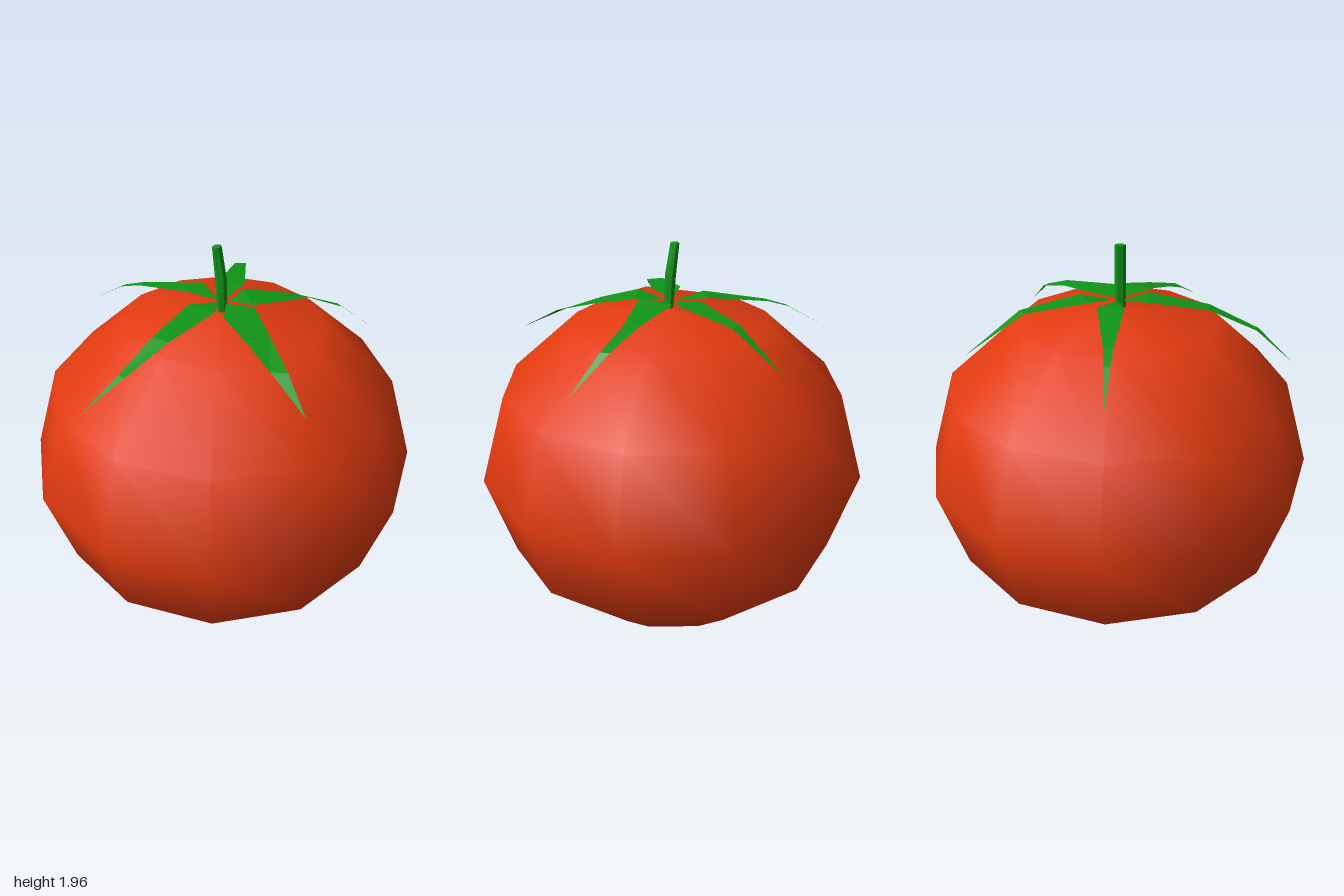
import * as THREE from 'three';

const red = new THREE.MeshStandardMaterial({ name: 'tomatoRed', color: 0xe23b10 });
const green = new THREE.MeshStandardMaterial({ name: 'leafGreen', color: 0x109518, flatShading: true, side: THREE.DoubleSide });

// Twelve-sided, smooth-shaded fruit
function makeFruit() {
  const profile = [[0, 0], [0.5, 0.04], [0.866, 0.37], [1, 0.81], [0.866, 1.255], [0.5, 1.58], [0, 1.64]];
  const geo = new THREE.LatheGeometry(profile.map(([r, y]) => new THREE.Vector2(r, y)), 12);
  // Slight bump on the front of the shoulder
  const pos = geo.attributes.position;
  for (let i = 0; i < pos.count; i++) {
    if (Math.abs(pos.getX(i)) < 0.01 && Math.abs(pos.getZ(i) - 0.5) < 0.01 && pos.getY(i) > 1) pos.setY(i, 1.61);
  }
  const mesh = new THREE.Mesh(geo, red);
  mesh.name = 'fruit';
  return mesh;
}

// Bent stem: three cross-sections shifted sideways
function makeStem() {
  const geo = new THREE.CylinderGeometry(1, 1, 2, 6, 2);
  const sections = [[0.012, 0.022, 1.64], [0.003, 0.028, 1.8], [-0.02, 0.021, 1.96]]; // centre x, radius, y
  const pos = geo.attributes.position;
  for (let i = 0; i < pos.count; i++) {
    const [cx, r, y] = sections[Math.round(pos.getY(i)) + 1];
    pos.setXYZ(i, cx + pos.getX(i) * r, y, 0.014 + pos.getZ(i) * 0.028);
  }
  geo.computeVertexNormals();
  const mesh = new THREE.Mesh(geo, green);
  mesh.name = 'stem';
  return mesh;
}

// Thin sepal: base point, cross rows [x1, z1, x2, z2, y], then tip point
function makeSepal(base, rows, tip) {
  const left = [base, ...rows.map(([x, z, , , y]) => [x, y, z]), tip];
  const right = [base, ...rows.map(([, , x, z, y]) => [x, y, z]), tip];
  const verts = [];
  for (let i = 0; i < left.length - 1; i++) {
    if (i > 0) verts.push(...left[i], ...right[i], ...right[i + 1]);
    if (i < left.length - 2) verts.push(...left[i], ...right[i + 1], ...left[i + 1]);
  }
  const geo = new THREE.BufferGeometry();
  geo.setAttribute('position', new THREE.Float32BufferAttribute(verts, 3));
  geo.computeVertexNormals();
  const mesh = new THREE.Mesh(geo, green);
  mesh.name = 'sepal';
  return mesh;
}

export function createModel() {
  const model = new THREE.Group();
  model.name = 'tomato';
  model.add(makeFruit(), makeStem());

  // Each row lists its two edges so that the face points up
  const sepals = [
    { base: [-0.02, 1.68, 0], rows: [[-0.18, 0.045, -0.17, -0.085, 1.7], [-0.5, 0.018, -0.5, -0.03, 1.64], [-0.62, 0.012, -0.62, -0.018, 1.6]], tip: [-0.82, 1.48, 0] },
    { base: [-0.01, 1.68, 0.02], rows: [[0.06, 0.15, -0.09, 0.15, 1.7], [0.01, 0.45, -0.08, 0.45, 1.665], [-0.06, 0.69, -0.1, 0.68, 1.575]], tip: [-0.17, 1.45, 0.85] },
    { base: [0.03, 1.68, 0.01], rows: [[0.19, 0.01, 0.12, 0.17, 1.7], [0.36, 0.145, 0.3, 0.25, 1.65], [0.53, 0.28, 0.46, 0.315, 1.59]], tip: [0.69, 1.48, 0.4] },
    { base: [0.03, 1.68, -0.02], rows: [[0.04, -0.14, 0.17, -0.01, 1.7], [0.23, -0.29, 0.32, -0.29, 1.665], [0.41, -0.43, 0.45, -0.41, 1.6]], tip: [0.62, 1.45, -0.53] },
    { base: [0, 1.68, -0.02], rows: [[-0.11, -0.12, 0.01, -0.19, 1.7], [-0.2, -0.43, -0.15, -0.46, 1.67]], tip: [-0.32, 1.5, -0.7] },
  ];
  const crown = new THREE.Group();
  crown.name = 'leafCrown';
  for (const { base, rows, tip } of sepals) crown.add(makeSepal(base, rows, tip));
  model.add(crown);
  return model;
}
